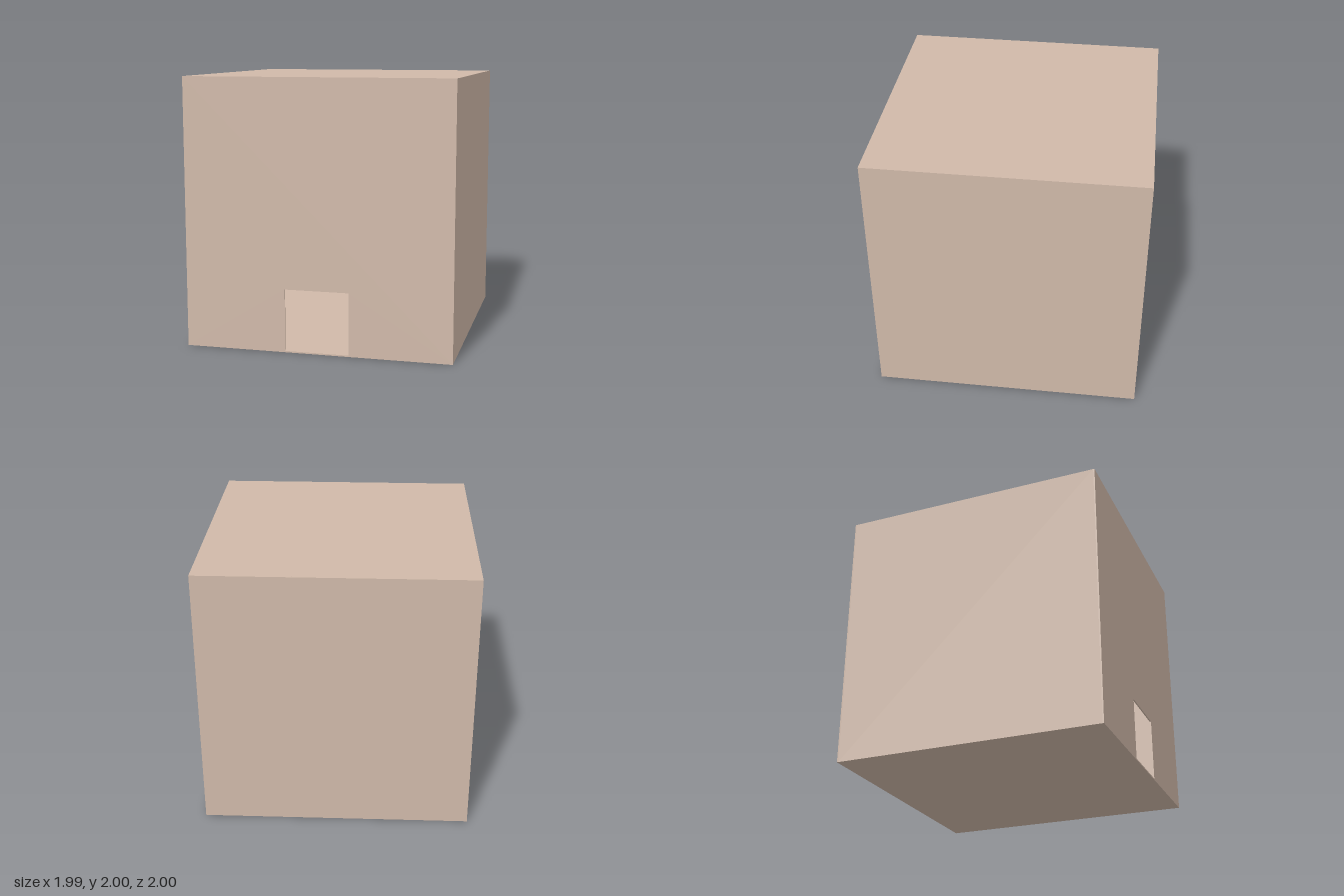
import * as THREE from 'three';

const W = 1.99, H = 2, D = 2, T = 0.01; // outer size and wall thickness
const DOOR_W = 0.475, DOOR_H = 0.47;

// Rectangle standing on y0, centred on x = 0
function rect(Type, w, y0, y1) {
  const r = new Type();
  r.moveTo(-w / 2, y0);
  r.lineTo(w / 2, y0);
  r.lineTo(w / 2, y1);
  r.lineTo(-w / 2, y1);
  r.closePath();
  return r;
}

export function createModel() {
  const group = new THREE.Group();
  const plaster = new THREE.MeshStandardMaterial({ color: 0xd0b9a9 });
  const grey = new THREE.MeshStandardMaterial({ color: 0xcccccc, side: THREE.DoubleSide });

  const add = (name, geometry, material, x, y, z) => {
    const mesh = new THREE.Mesh(geometry, material);
    mesh.name = name;
    mesh.position.set(x, y, z);
    group.add(mesh);
  };
  // Panel across the z axis, with an optional opening
  const panel = (name, depth, z, hole) => {
    const shape = rect(THREE.Shape, W, 0, H);
    if (hole) shape.holes.push(hole);
    add(name, new THREE.ExtrudeGeometry(shape, { depth, bevelEnabled: false }), plaster, 0, 0, z);
  };

  // Floor, side walls and roof as one hollow sleeve, closed by two end walls
  panel('floorSidesAndRoof', D - 2 * T, -D / 2 + T, rect(THREE.Path, W - 2 * T, T, H - T));
  panel('backWall', T, -D / 2);
  panel('frontWallWithDoorway', T, D / 2 - T, rect(THREE.Path, DOOR_W, T, DOOR_H));

  // Small flared pot on the floor inside, beside the doorway
  const profile = [[0, 0], [0.06, 0], [0.14, 0.16], [0.125, 0.16], [0.05, 0.012], [0, 0.012]]
    .map(([r, y]) => new THREE.Vector2(r, y));
  const pot = new THREE.LatheGeometry(profile, 16).toNonIndexed();
  pot.computeVertexNormals();
  add('pot', pot, grey, -0.78, T, 0.34);

  return group;
}
